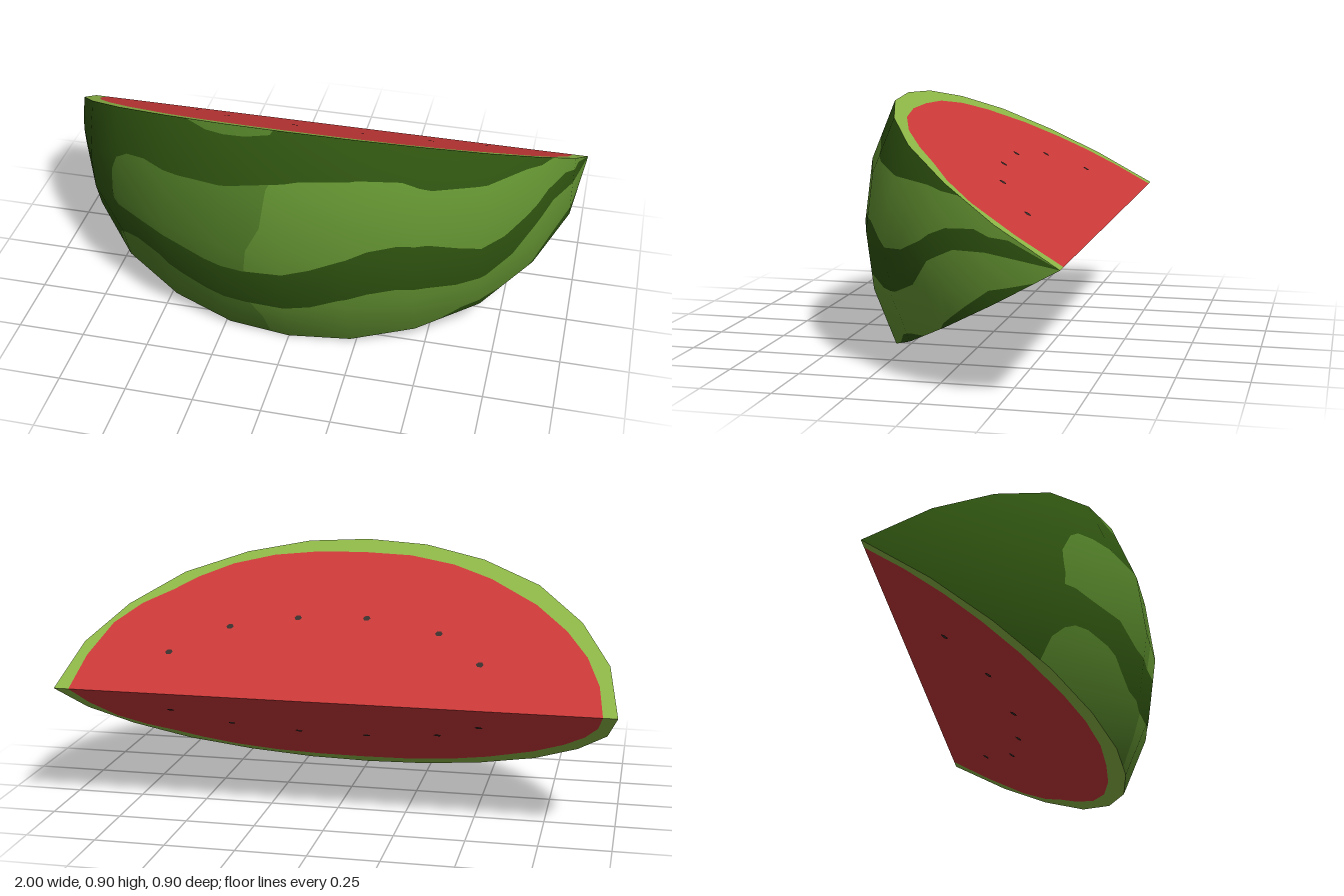
import * as THREE from 'three';

const material = (name, color) => {
  const m = new THREE.MeshStandardMaterial({ color });
  m.name = name;
  return m;
};

// Wedge of an ellipsoid: the core edge runs along x at y = 0.45, z = -0.45
const CORE_Y = 0.45, CORE_Z = -0.45;
const half = [[0, 0.9], [0.23, 0.878], [0.46, 0.8], [0.68, 0.665], [0.85, 0.47], [0.96, 0.252], [1, 0]];
const outline = [...half.slice(1).reverse().map(([x, r]) => [-x, r]), ...half];

// Piecewise linear lookup
function lerpAt(points, x) {
  if (x <= points[0][0]) return points[0][1];
  for (let i = 1; i < points.length; i++) {
    const [x0, y0] = points[i - 1], [x1, y1] = points[i];
    if (x <= x1) return y0 + (y1 - y0) * (x - x0) / (x1 - x0);
  }
  return points[points.length - 1][1];
}

// Cross-section of the rind: four straight facets over 60 degrees
const section = [-30, -15, 0, 15, 30].map(d => {
  const a = THREE.MathUtils.degToRad(d);
  return [Math.sin(a), Math.cos(a)];
});

// Wavy stripe borders, height over x
const curves = {
  lowDark: [[0.53, 0], [0.58, 0.10], [0.62, 0.125], [0.7, 0.15], [0.77, 0.155], [0.83, 0.2], [0.87, 0.255],
    [0.905, 0.3], [0.955, 0.36], [0.985, 0.4], [1, 0.45]],
  lowSeam: [[-0.135, 1], [-0.13, 0.18], [-0.09, 0.1], [-0.07, 0]],
  lowTop: [[-0.712, 0], [-0.71, 0.22], [-0.69, 0.26], [-0.66, 0.28], [-0.6, 0.29], [-0.5, 0.275], [-0.4, 0.23],
    [-0.3, 0.195], [-0.15, 0.18], [0, 0.19], [0.1, 0.215], [0.2, 0.26], [0.3, 0.29], [0.4, 0.305], [0.5, 0.295],
    [0.6, 0.28], [0.7, 0.29], [0.78, 0.335], [0.85, 0.43], [0.9, 0.48], [0.96, 0.487], [1, 0.45]],
  highBottom: [[-0.712, 0.5], [-0.71, 0.41], [-0.6, 0.4], [-0.45, 0.39], [-0.3, 0.355], [-0.15, 0.345], [0, 0.365],
    [0.1, 0.4], [0.2, 0.45], [0.3, 0.49], [0.4, 0.505], [0.5, 0.495], [0.6, 0.46], [0.68, 0.435], [0.75, 0.445],
    [0.82, 0.49], [0.88, 0.545], [0.93, 0.555], [0.97, 0.53], [1, 0.45]],
  highSeam: [[-0.142, 0], [-0.14, 0.37], [-0.13, 0.45], [-0.08, 0.55], [-0.06, 0.7], [-0.05, 1]],
  highTop: [[-0.712, 0.5], [-0.71, 0.54], [-0.68, 0.61], [-0.63, 0.645], [-0.55, 0.665], [-0.4, 0.668], [-0.2, 0.69],
    [-0.05, 0.72], [0.05, 0.74], [0.25, 0.755], [0.4, 0.74], [0.5, 0.7], [0.65, 0.68], [0.8, 0.67], [0.89, 0.65]],
  patchBottom: [[-0.4, 1], [-0.38, 0.865], [-0.3, 0.85], [-0.15, 0.86], [-0.06, 0.88], [-0.03, 1]],
};
const columns = [...new Set([outline, ...Object.values(curves)].flat().map(p => p[0]))].sort((a, b) => a - b);

// All stripe borders at x, from bottom to top, as -0.5..0.5 of the local radius
function borders(x) {
  const r = lerpAt(outline, x);
  const c = {};
  for (const key in curves) c[key] = lerpAt(curves[key], x);
  c.lowSeam = THREE.MathUtils.clamp(c.lowSeam, Math.min(c.lowDark, c.lowTop), c.lowTop);
  c.highSeam = THREE.MathUtils.clamp(c.highSeam, c.highBottom, c.highTop);
  let last = -0.5;
  const inner = Object.values(c).map(y =>
    (last = Math.max(last, THREE.MathUtils.clamp(r > 0 ? (y - CORE_Y) / r : 0, -0.5, 0.5))));
  return [-0.5, ...inner, 0.5];
}

// One coloured band of the curved rind between two neighbouring borders
function rindBand(index) {
  const positions = [], normals = [];
  const grid = columns.map(x => {
    const b = borders(x), r = lerpAt(outline, x);
    return section.map(([knot], i) => {
      const s = i === 0 ? b[index] : i === 4 ? b[index + 1]
        : THREE.MathUtils.clamp(knot, b[index], b[index + 1]);
      return new THREE.Vector3(x, CORE_Y + r * s, CORE_Z + r * lerpAt(section, s));
    });
  });
  const triangle = (...corners) => {
    const area = new THREE.Triangle(...corners).getArea();
    if (area < 1e-8) return;
    for (const p of corners) {
      const n = new THREE.Vector3(p.x, (p.y - CORE_Y) / 0.81, (p.z - CORE_Z) / 0.81).normalize();
      positions.push(p.x, p.y, p.z);
      normals.push(n.x, n.y, n.z);
    }
  };
  for (let i = 0; i < grid.length - 1; i++) {
    for (let j = 0; j < 4; j++) {
      const a = grid[i][j], b = grid[i + 1][j], c = grid[i + 1][j + 1], d = grid[i][j + 1];
      triangle(a, b, c);
      triangle(a, c, d);
    }
  }
  const geometry = new THREE.BufferGeometry();
  geometry.setAttribute('position', new THREE.Float32BufferAttribute(positions, 3));
  geometry.setAttribute('normal', new THREE.Float32BufferAttribute(normals, 3));
  return geometry;
}

// Flesh edge and seeds on a cut face: x, distance from the core edge
const fleshEdge = [[-0.95, 0], [-0.93, 0.15], [-0.88, 0.29], [-0.8, 0.42], [-0.68, 0.555], [-0.5, 0.69], [-0.35, 0.765],
  [-0.18, 0.81], [0, 0.82], [0.18, 0.815], [0.35, 0.785], [0.5, 0.725], [0.62, 0.64], [0.7, 0.56], [0.8, 0.475],
  [0.88, 0.36], [0.93, 0.18], [0.945, 0]];
const seeds = [[-0.51, 0.225], [-0.345, 0.375], [-0.07, 0.44], [0.185, 0.427], [0.43, 0.364], [0.625, 0.214]];

export function createModel() {
  const model = new THREE.Group();
  model.name = 'melonWedge';
  const dark = material('darkRind', 0x2f5410);
  const mid = material('midGreenStripe', 0x527f28);
  const light = material('lightGreenStripe', 0x649432);
  const lime = material('limeRim', 0x8db646);
  const red = material('redFlesh', 0xcb3939);
  const black = material('seedBrown', 0x3a2f2c);

  const add = (parent, name, geometry, mat) => {
    const mesh = new THREE.Mesh(geometry, mat);
    mesh.name = name;
    parent.add(mesh);
    return mesh;
  };

  // Striped rind, bottom to top
  const rind = new THREE.Group();
  rind.name = 'rind';
  model.add(rind);
  [['lowerDarkEdge', dark], ['lowerStripeMid', mid], ['lowerStripeLight', light], ['middleDarkBand', dark],
    ['upperStripeLight', light], ['upperStripeMid', mid], ['upperDarkBand', dark], ['topPatch', mid]]
    .forEach(([name, mat], i) => add(rind, name, rindBand(i), mat));

  // Two flat cut faces, each with a rim, flesh and seeds
  for (const side of [1, -1]) {
    const face = new THREE.Group();
    face.name = side > 0 ? 'lowerCutFace' : 'upperCutFace';
    face.position.set(0, CORE_Y, CORE_Z);
    face.rotation.x = side * Math.PI * 2 / 3;
    model.add(face);
    const shape = points => new THREE.ShapeGeometry(
      new THREE.Shape(points.map(([x, r]) => new THREE.Vector2(x, side * r))));
    add(face, 'rim', shape([...outline, ...[...fleshEdge].reverse()]), lime);
    add(face, 'flesh', shape(fleshEdge), red);
    for (const [x, r] of seeds) {
      add(face, 'seed', new THREE.CircleGeometry(0.014, 6), black).position.set(x, side * r, 0.003);
    }
  }
  return model;
}
